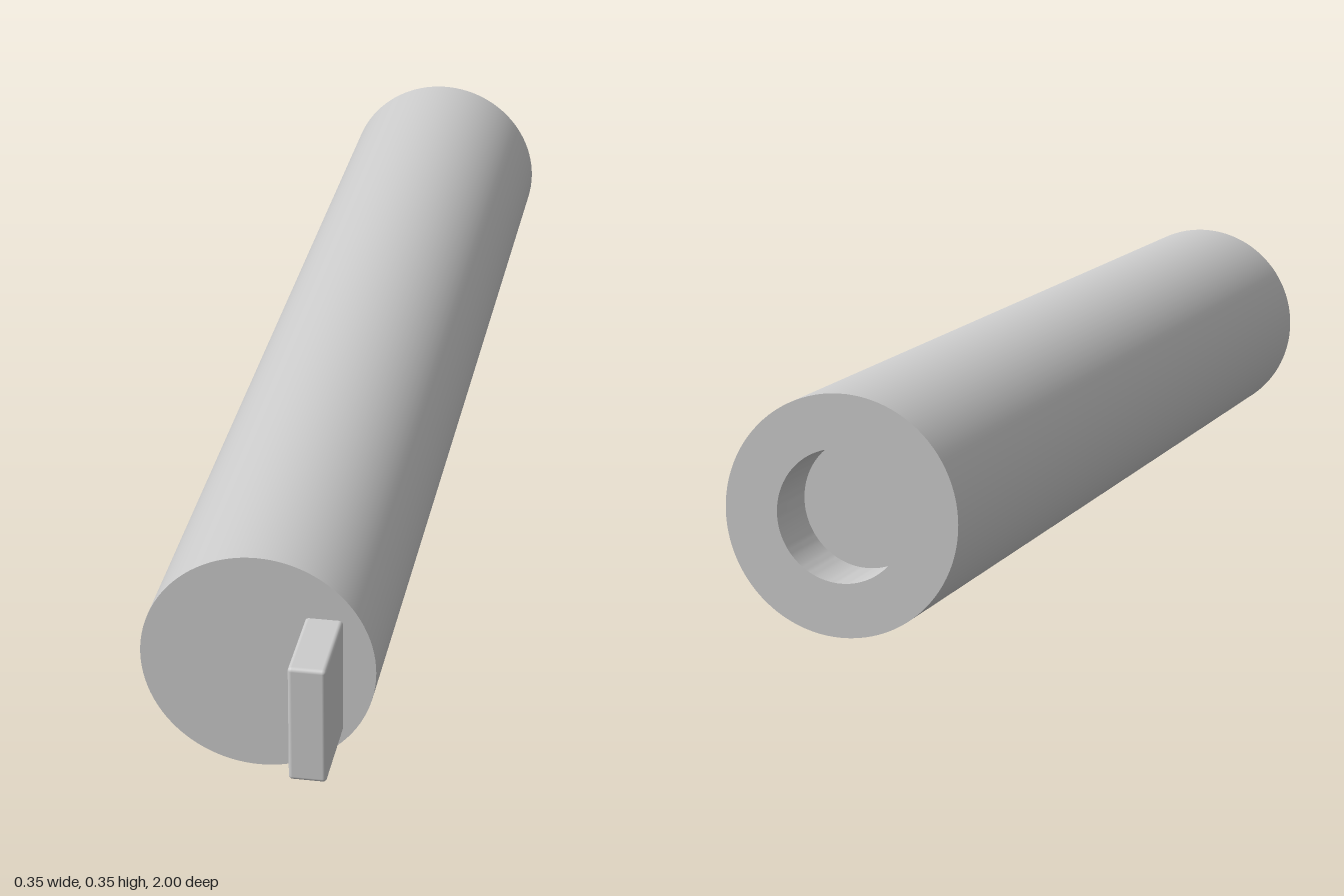
import * as THREE from 'three';
import { toCreasedNormals } from 'three/addons/utils/BufferGeometryUtils.js';
import { RoundedBoxGeometry } from 'three/addons/geometries/RoundedBoxGeometry.js';

const RADIUS = 0.174;
const FRONT = 0.86;
const BACK = -1;

export function createModel() {
  const group = new THREE.Group();
  group.name = 'rodWithKey';
  const material = new THREE.MeshStandardMaterial({ color: 0xcccccc });

  // Round body along z, with a blind socket in its back end
  const socketRadius = 0.096;
  const socketFloor = BACK + 0.1;
  const profile = [
    [0, socketFloor],
    [socketRadius, socketFloor],
    [socketRadius, BACK],
    [RADIUS, BACK],
    [RADIUS, FRONT],
    [0, FRONT],
  ].map(([r, z]) => new THREE.Vector2(r, z));
  const bodyGeometry = toCreasedNormals(new THREE.LatheGeometry(profile, 96), Math.PI / 6);
  bodyGeometry.rotateX(Math.PI / 2);
  const body = new THREE.Mesh(bodyGeometry, material);
  body.name = 'body';
  body.position.y = RADIUS;
  group.add(body);

  // Off-centre tab with softened edges; its back end is sunk into the body
  const tabLength = 0.16;
  const tab = new THREE.Mesh(new RoundedBoxGeometry(0.055, 0.185, tabLength, 4, 0.006), material);
  tab.name = 'frontTab';
  tab.position.set(0.098, 0.164, 1 - tabLength / 2);
  group.add(tab);

  return group;
}
